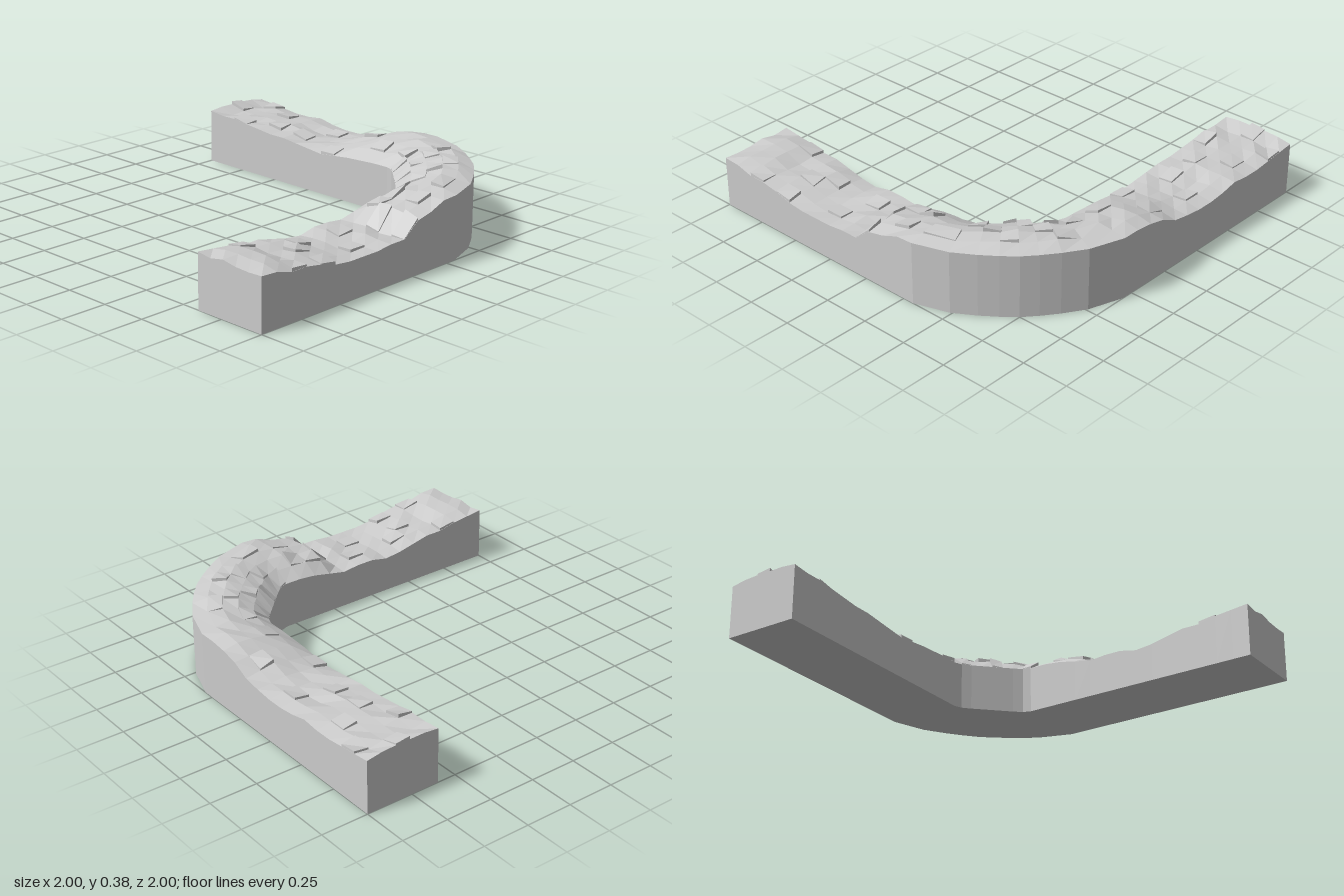
import * as THREE from 'three';

const ROWS = 5, ARM = 14, BEND = 8;
const material = new THREE.MeshStandardMaterial({ color: 0xcccccc, flatShading: true, side: THREE.DoubleSide });

// small seeded noise in -1..1
let seed = 7;
const rnd = () => ((seed = (seed * 16807) % 2147483647) / 2147483647) * 2 - 1;

// height profiles along each arm: inner edge, ridge, outer edge
const LEFT = {
  inner: [.28, .27, .26, .24, .24, .22, .20, .19, .21, .21, .20, .22, .24, .25, .25],
  ridge: [.275, .285, .275, .245, .24, .23, .20, .19, .20, .205, .20, .295, .31, .325, .335],
  outer: [.27, .265, .24, .24, .225, .20, .19, .19, .19, .20, .20, .27, .29, .325, .33],
};
const BACK = {
  inner: [.25, .25, .245, .24, .23, .22, .23, .24, .25, .25, .26, .27, .28, .28, .29],
  ridge: [.335, .33, .32, .305, .28, .25, .24, .24, .25, .265, .275, .27, .28, .27, .29],
  outer: [.33, .33, .32, .30, .255, .24, .23, .23, .24, .26, .25, .25, .26, .27, .28],
};

// half of the bend; the other half is its mirror across the diagonal
const BEND_IN = [[.31, .6], [.35, .585], [.39, .55], [.43, .51], [.47, .47]];
const BEND_OUT = [[.31, 1], [.49, .94], [.6, .87], [.68, .81], [.75, .75]];

function buildStations() {
  const list = [];
  const add = (i, o, h) => list.push({ i, o, h });
  const at = (p, k) => [p.inner[k], p.ridge[k], p.outer[k]];
  for (let k = 0; k < ARM; k++) {
    const x = -1 + 1.31 * k / ARM;
    add([x, .6], [x, 1], at(LEFT, k));
  }
  for (let k = 0; k <= BEND; k++) {
    const m = k <= 4 ? k : BEND - k;
    const flip = p => (k <= 4 ? p : [p[1], p[0]]);
    add(flip(BEND_IN[m]), flip(BEND_OUT[m]), [.25, .34 + .004 * m, .33]);
  }
  for (let k = 1; k <= ARM; k++) {
    const z = .31 - 1.31 * k / ARM;
    add([.6, z], [1, z], at(BACK, k));
  }
  // uneven top nodes, from inner to outer edge
  for (const s of list) {
    const [a, b, c] = s.h;
    s.top = [];
    for (let r = 0; r <= ROWS; r++) {
      const t = r / ROWS;
      const y = a * (1 - t) * (1 - 2 * t) + b * 4 * t * (1 - t) + c * t * (2 * t - 1);
      const rough = r === 0 || r === ROWS ? 0 : .009 * rnd();
      s.top.push(new THREE.Vector3(
        THREE.MathUtils.lerp(s.i[0], s.o[0], t), y + rough, THREE.MathUtils.lerp(s.i[1], s.o[1], t)));
    }
  }
  return list;
}

// wall body: closed cross-sections joined along the path, with end caps
function wallGeometry(stations) {
  const rings = stations.map(s => [
    new THREE.Vector3(s.o[0], 0, s.o[1]), ...[...s.top].reverse(), new THREE.Vector3(s.i[0], 0, s.i[1])]);
  const n = rings[0].length, pos = [];
  const tri = (...v) => v.forEach(p => pos.push(p.x, p.y, p.z));
  for (let s = 0; s < rings.length - 1; s++) {
    for (let k = 0; k < n; k++) {
      const A = rings[s], B = rings[s + 1], j = (k + 1) % n;
      tri(A[k], B[k], B[j]);
      tri(A[k], B[j], A[j]);
    }
  }
  const first = rings[0], last = rings[rings.length - 1];
  for (let k = 1; k < n - 1; k++) {
    tri(first[0], first[k], first[k + 1]);
    tri(last[0], last[k + 1], last[k]);
  }
  const g = new THREE.BufferGeometry();
  g.setAttribute('position', new THREE.Float32BufferAttribute(pos, 3));
  g.computeVertexNormals();
  return g;
}

// loose stone: a box fitted to one cell of the top, lifted and tilted
function stoneGeometry(stations, s, r) {
  const g = new THREE.BoxGeometry(1, 1, 1), p = g.attributes.position;
  const a = stations[s].top, b = stations[s + 1].top;
  const tiltU = .014 * rnd(), tiltV = .014 * rnd();
  const near = new THREE.Vector3(), far = new THREE.Vector3();
  for (let k = 0; k < p.count; k++) {
    const u = p.getX(k) + .5, v = .5 + p.getZ(k) * .97;
    near.lerpVectors(a[r], a[r + 1], v);
    far.lerpVectors(b[r], b[r + 1], v);
    near.lerp(far, u);
    const lift = p.getY(k) > 0 ? .011 : -.014;
    p.setXYZ(k, near.x, near.y + lift + tiltU * (u - .5) + tiltV * (v - .5), near.z);
  }
  g.computeVertexNormals();
  return g;
}

export function createModel() {
  seed = 7;
  const model = new THREE.Group();
  model.name = 'curvedStoneWall';
  const stations = buildStations();

  const wall = new THREE.Mesh(wallGeometry(stations), material);
  wall.name = 'wall';
  model.add(wall);

  // stones as [column, row]: left arm, then back arm counted from its far end
  const leftStones = [[2, 0], [2, 4], [4, 4], [4, 2], [5, 1], [7, 3], [8, 1], [10, 2], [11, 1], [12, 1], [12, 3], [10, 4]];
  const backStones = [[0, 2], [1, 4], [2, 0], [3, 3], [4, 1], [6, 1], [7, 3], [9, 0], [10, 3], [12, 1]];
  const cells = [...leftStones];
  for (const [c, r] of backStones) cells.push([2 * ARM + BEND - 1 - c, r]);
  for (let c = 0; c < BEND; c++) {
    for (let r = 0; r < ROWS - 1; r++) if ((c + 2 * r) % 3 === 0) cells.push([ARM + c, r]);
  }

  const stones = new THREE.Group();
  stones.name = 'looseStones';
  for (const [c, r] of cells) {
    const stone = new THREE.Mesh(stoneGeometry(stations, c, r), material);
    stone.name = 'stone';
    stones.add(stone);
  }
  model.add(stones);
  return model;
}
